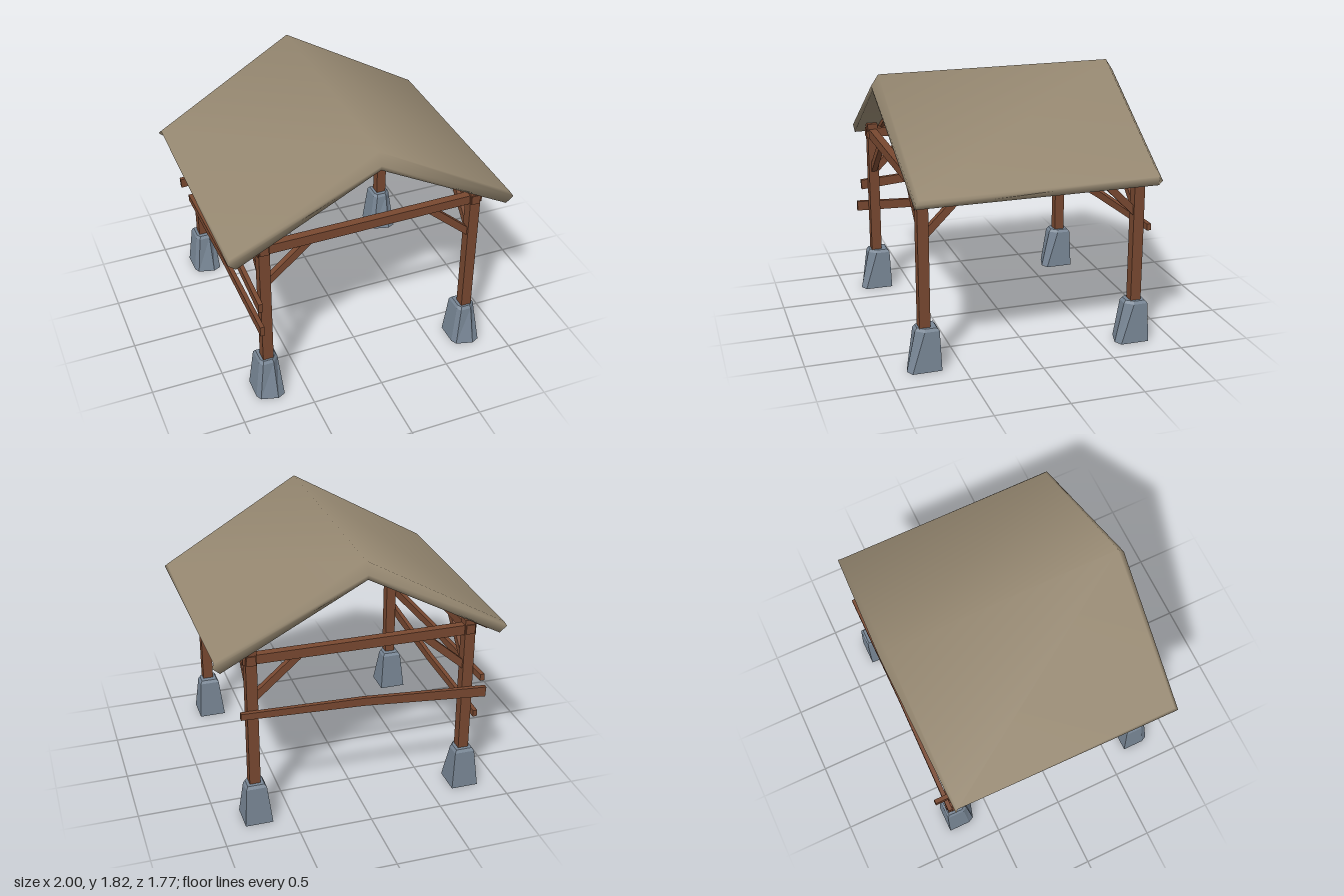
import * as THREE from 'three';

// Skin a list of cross-section loops (counter-clockwise about the direction of travel)
function loft(sections, { smooth = false, capStart = true } = {}) {
  const n = sections[0].length, last = (sections.length - 1) * n, index = [];
  for (let k = 0; k < sections.length - 1; k++) {
    for (let i = 0; i < n; i++) {
      const a = k * n + i, b = k * n + (i + 1) % n;
      index.push(a, b, b + n, a, b + n, a + n);
    }
  }
  for (let i = 1; i < n - 1; i++) {
    if (capStart) index.push(0, i + 1, i);
    index.push(last, last + i, last + i + 1);
  }
  let geo = new THREE.BufferGeometry();
  geo.setAttribute('position', new THREE.Float32BufferAttribute(sections.flat(2), 3));
  geo.setIndex(index);
  if (!smooth) geo = geo.toNonIndexed();
  geo.computeVertexNormals();
  return geo;
}

// Rectangular timber along a path; heights may differ at each point
function timberGeometry(path, width, heights) {
  const pts = path.map(p => new THREE.Vector3(...p));
  const dir = pts[pts.length - 1].clone().sub(pts[0]).normalize();
  const side = new THREE.Vector3().crossVectors(dir, new THREE.Vector3(0, 1, 0));
  if (side.length() < 0.01) side.set(1, 0, 0);
  side.normalize();
  const up = new THREE.Vector3().crossVectors(dir, side);
  return loft(pts.map((p, k) => {
    const h = (heights[k] ?? heights[0]) / 2, w = width / 2;
    return [[1, 1], [-1, 1], [-1, -1], [1, -1]].map(([s, u]) =>
      p.clone().addScaledVector(side, s * w).addScaledVector(up, u * h).toArray());
  }));
}

export function createModel() {
  const roofMat = new THREE.MeshStandardMaterial({ color: 0x968871 });
  roofMat.name = 'thatch';
  const woodMat = new THREE.MeshStandardMaterial({ color: 0x784830 });
  woodMat.name = 'wood';
  const stoneMat = new THREE.MeshStandardMaterial({ color: 0x788695, side: THREE.DoubleSide });
  stoneMat.name = 'stone';

  const model = new THREE.Group();
  model.name = 'openShelter';
  const add = (name, geo, mat) => {
    const mesh = new THREE.Mesh(geo, mat);
    mesh.name = name;
    model.add(mesh);
    return mesh;
  };
  const timber = (name, path, width, ...heights) =>
    add(name, timberGeometry(path, width, heights), woodMat);

  // Gabled roof slab: eave, ridge and eave sections with bevelled rims
  const eave = s => [
    [s * 0.985, 1.245, -0.785], [s * 0.985, 1.245, 0.815],
    [s, 1.22, 0.838], [s * 0.95, 1.175, 0.835],
    [s * 0.95, 1.175, -0.8], [s, 1.22, -0.803],
  ];
  const ridge = [
    [0, 1.82, -0.805], [0, 1.82, 0.838], [0, 1.745, 0.888],
    [0, 1.71, 0.88], [0, 1.71, -0.847], [0, 1.745, -0.855],
  ];
  add('roof', loft([eave(-1), ridge, eave(1)], { smooth: true }), roofMat);

  // Hewn foundation stones, open underneath
  const base = [[0.64, 0.645], [0.64, 0.8], [0.66, 0.84], [0.775, 0.872], [0.83, 0.845], [0.83, 0.645]];
  const shoulder = [[0.675, 0.655], [0.675, 0.78], [0.695, 0.81], [0.77, 0.81], [0.815, 0.755], [0.815, 0.655]];
  const crown = shoulder.map(([x, z]) => [0.745 + (x - 0.745) * 0.82, 0.733 + (z - 0.733) * 0.82]);
  const level = (loop, y) => loop.map(([x, z]) => [x, y, z]);
  const stoneGeo = loft([level(base, 0), level(shoulder, 0.28), level(crown, 0.3)], { capStart: false });

  const P = 0.745;
  for (const sx of [-1, 1]) {
    for (const sz of [-1, 1]) {
      const x = sx * P, z = sz * P;
      add('foundationStone', stoneGeo, stoneMat)
        .position.set(sx < 0 ? -1.488 : 0, 0, sz < 0 ? -1.475 : 0);
      timber('post', [[x, 0.27, z], [x, 1.29, z]], 0.074, 0.074);
      // Diagonal braces to the tie beam and to the wall plate
      timber('tieBrace', [[sx * 0.745, 0.925, z], [sx * 0.43, 1.2, z]], 0.04, 0.05);
      timber('plateBrace', [[x, 0.915, sz * 0.745], [x, 1.2, sz * 0.46]], 0.04, 0.05);
    }
    timber('wallPlate', [[sx * P, 1.222, -0.79], [sx * P, 1.222, 0.79]], 0.062, 0.066);
    timber('tieBeam', [[-0.79, 1.215, sx * P], [0, 1.218, sx * P], [0.797, 1.223, sx * P]], 0.055, 0.07, 0.066, 0.064);
    // Three rafters under each slope
    for (const z of [-0.68, -0.01, 0.655]) {
      timber('rafter', [[0, 1.712, z], [sx * 0.915, 1.19, z]], 0.052, 0.05);
    }
  }

  // Bent fence rails on one side and across the back
  timber('upperSideRail', [[-0.8, 0.802, 0.83], [-0.795, 0.865, 0], [-0.805, 0.902, -0.885]], 0.03, 0.072, 0.055, 0.046);
  timber('lowerSideRail', [[-0.805, 0.634, 0.865], [-0.795, 0.602, 0], [-0.8, 0.586, -0.82]], 0.03, 0.072, 0.058, 0.048);
  timber('backRail', [[-0.87, 0.745, -0.805], [0, 0.81, -0.795], [0.83, 0.843, -0.8]], 0.03, 0.072, 0.057, 0.045);

  return model;
}
